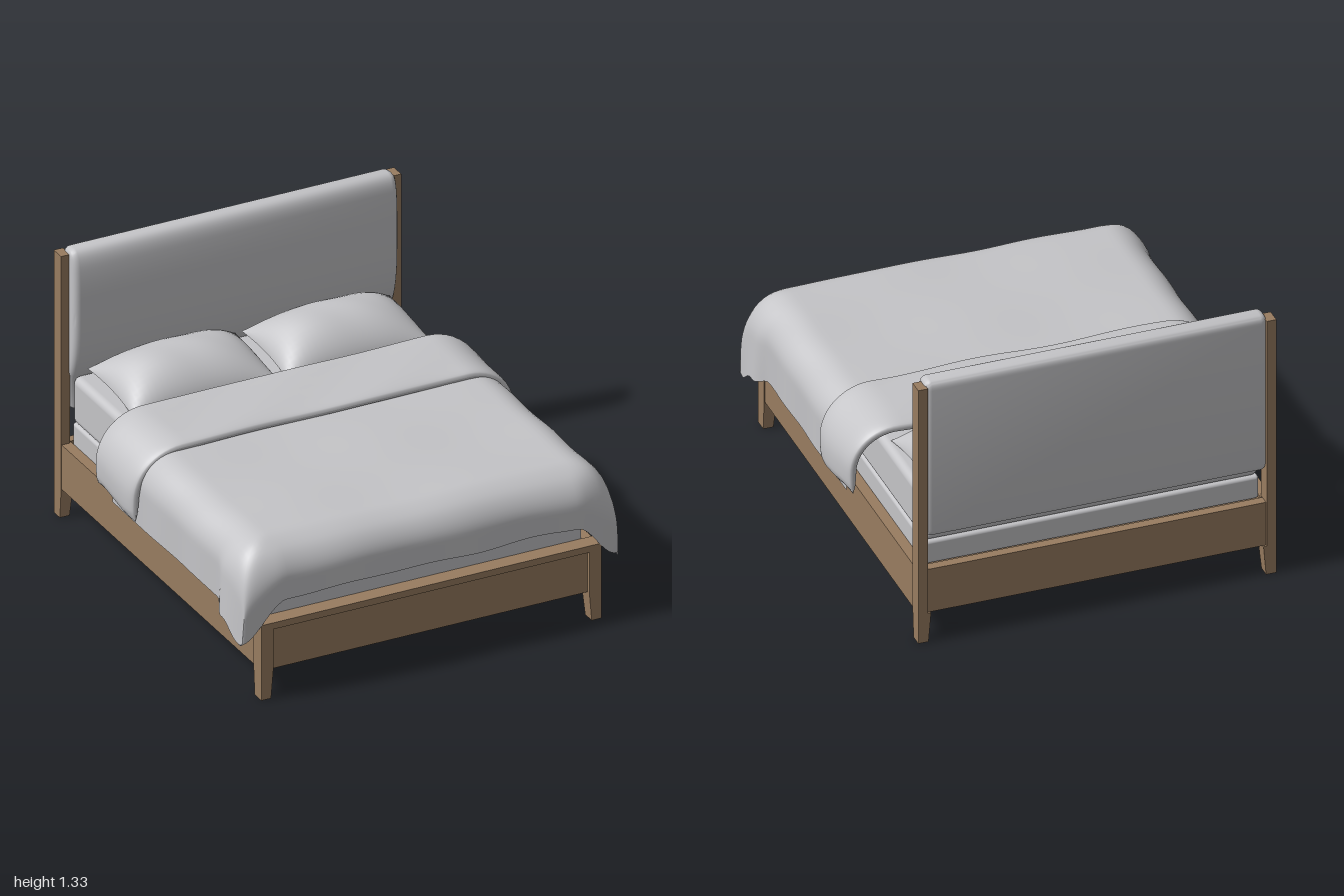
import * as THREE from 'three';
import { toCreasedNormals } from 'three/addons/utils/BufferGeometryUtils.js';
import { RoundedBoxGeometry } from 'three/addons/geometries/RoundedBoxGeometry.js';

const wood = new THREE.MeshStandardMaterial({ color: 0x987c60 });
wood.name = 'oak wood';
const linen = new THREE.MeshStandardMaterial({ color: 0xc4c4c7, side: THREE.DoubleSide });
linen.name = 'grey linen';

const { smoothstep: smooth, lerp } = THREE.MathUtils;

function add(parent, name, geometry, material, x = 0, y = 0, z = 0) {
  const mesh = new THREE.Mesh(geometry, material);
  mesh.name = name;
  mesh.position.set(x, y, z);
  parent.add(mesh);
}

// Box given by its lower and upper corners
function box(parent, name, material, [x0, y0, z0], [x1, y1, z1], radius = 0) {
  const s = [x1 - x0, y1 - y0, z1 - z0];
  const g = radius ? new RoundedBoxGeometry(...s, 5, radius) : new THREE.BoxGeometry(...s);
  add(parent, name, g, material, (x0 + x1) / 2, (y0 + y1) / 2, (z0 + z1) / 2);
}

// Smooth grid surface from a rule p(u, v) -> [x, y, z]
function surface(p, nu, nv) {
  const pos = [], index = [];
  for (let j = 0; j <= nv; j++) {
    for (let i = 0; i <= nu; i++) {
      pos.push(...p(i / nu, j / nv));
      if (i < nu && j < nv) {
        const a = j * (nu + 1) + i, b = a + nu + 1;
        index.push(a, b, a + 1, b, b + 1, a + 1);
      }
    }
  }
  const g = new THREE.BufferGeometry();
  g.setAttribute('position', new THREE.Float32BufferAttribute(pos, 3));
  g.setIndex(index);
  g.computeVertexNormals();
  return g;
}

// Cloth falling over an edge of radius r: how far out and down after length d
function drape(d, r) {
  const t = Math.min(d / r, Math.PI / 2);
  return { out: r * Math.sin(t), down: r * (1 - Math.cos(t)) + Math.max(0, d - r * Math.PI / 2) };
}

// Short leg, tapered inward on its two inner faces
function leg(parent, name, sx, z0, z1, top, taperZ) {
  const w = 0.06, d = z1 - z0;
  const g = new THREE.BoxGeometry(w, top, d);
  const p = g.attributes.position;
  for (let i = 0; i < p.count; i++) {
    if (p.getY(i) > 0) continue;
    if (p.getX(i) * sx < 0) p.setX(i, p.getX(i) + sx * 0.012);
    if (p.getZ(i) * taperZ > 0) p.setZ(i, p.getZ(i) - taperZ * 0.012);
  }
  g.computeVertexNormals();
  add(parent, name, g, wood, sx * (0.838 - w / 2), top / 2, (z0 + z1) / 2);
}

function buildFrame() {
  const frame = new THREE.Group();
  frame.name = 'frame';
  for (const s of [-1, 1]) {
    const side = s > 0 ? 'left' : 'right';
    // Corner legs, posts and side rails
    leg(frame, side + 'FrontLeg', s, 0.903, 0.977, 0.145, -1);
    box(frame, side + 'FrontPost', wood, [s * 0.808 - 0.03, 0.145, 0.903], [s * 0.808 + 0.03, 0.37, 0.977]);
    leg(frame, side + 'BackLeg', s, -1, -0.93, 0.145, 1);
    box(frame, side + 'HeadPost', wood, [s * 0.8155 - 0.0225, 0.145, -1], [s * 0.8155 + 0.0225, 1.3, -0.93]);
    box(frame, side + 'SideRail', wood, [s * 0.81 - 0.025, 0.145, -0.94], [s * 0.81 + 0.025, 0.365, 0.91]);
  }
  // Foot panel, set back below its cap
  box(frame, 'footPanel', wood, [-0.79, 0.135, 0.91], [0.79, 0.34, 0.958]);
  box(frame, 'footCap', wood, [-0.838, 0.34, 0.9], [0.838, 0.372, 0.978]);
  box(frame, 'headRail', wood, [-0.8, 0.145, -0.99], [0.8, 0.365, -0.945]);
  // Thin plate on one side rail
  box(frame, 'railPlate', wood, [0.834, 0.315, -0.07], [0.841, 0.355, 0.77]);
  // Deck and the slats below it, across the width
  box(frame, 'deck', wood, [-0.79, 0.335, -0.945], [0.79, 0.35, 0.91]);
  const n = 16;
  for (let i = 0; i < n; i++) {
    const z = -0.87 + (1.72 * i) / (n - 1);
    const y = 0.305 + 0.01 * (i % 2);
    box(frame, 'slat', wood, [-0.79, y, z - 0.038], [0.79, y + 0.02, z + 0.038]);
  }
  return frame;
}

// Padded board: side profile extruded across the bed, swelling above the mattress
function headboard() {
  const bevel = 0.03, width = 1.6;
  const s = new THREE.Shape();
  s.moveTo(0.985, 0.535);
  s.lineTo(0.925, 0.535);
  s.lineTo(0.925, 0.68);
  s.bezierCurveTo(0.9, 0.72, 0.874, 0.8, 0.872, 0.95);
  s.bezierCurveTo(0.87, 1.1, 0.87, 1.18, 0.88, 1.25);
  s.bezierCurveTo(0.89, 1.31, 0.91, 1.325, 0.94, 1.325);
  s.bezierCurveTo(0.98, 1.325, 0.995, 1.315, 0.995, 1.28);
  s.lineTo(0.995, 0.56);
  s.closePath();
  const g = new THREE.ExtrudeGeometry(s, {
    depth: width - 2 * bevel, curveSegments: 10,
    bevelEnabled: true, bevelThickness: bevel, bevelSize: bevel, bevelOffset: -bevel, bevelSegments: 4,
  });
  g.translate(0, 0, bevel - width / 2);
  g.rotateY(Math.PI / 2);
  return toCreasedNormals(g, 0.7);
}

function pillow(parent, name, cx) {
  const half = (sign) => surface((a, b) => {
    const u = Math.sin((a - 0.5) * Math.PI), v = Math.sin((b - 0.5) * Math.PI);
    const full = Math.pow((1 - u * u * Math.abs(u)) * (1 - v * v), 0.6);
    // Edges pull in between pointed corners
    const x = cx + 0.365 * u * (1 - 0.05 * (1 - v * v));
    const z = -0.66 - 0.22 * v * (1 - 0.05 * (1 - u * u));
    const seam = 0.724 + 0.02 * v;
    const crease = 0.002 * Math.sin(9 * u + 5 * v) * full;
    return [x, seam + (sign > 0 ? 0.157 * full + crease : -0.03 * full), z];
  }, 28, 20);
  add(parent, name + 'Top', half(1), linen);
  add(parent, name + 'Underside', half(-1), linen);
}

// Main cover, hanging over both sides and the foot, with lower pouches at the foot corners
function duvet() {
  const flatX = 0.74, flatZ = 0.82, r = 0.165, hangX = 0.44, hangZ = 0.37, start = -0.3;
  return surface((u, v) => {
    const a = (2 * u - 1) * (flatX + hangX), s = Math.sign(a);
    const b = start + v * (flatZ + hangZ - start);
    const da = Math.max(0, Math.abs(a) - flatX), db = Math.max(0, b - flatZ);
    const fx = da / hangX, fz = db / hangZ;
    const x0 = Math.min(Math.abs(a), flatX) + drape(da, r).out;
    const z0 = Math.min(b, flatZ) + drape(db, r).out;
    // How far the cloth has fallen, and how low its hem is here
    const f = Math.min(1, Math.pow(fx ** 3 + fz ** 3, 1 / 3));
    const nearX = smooth(x0, 0.72, 0.915), nearZ = smooth(z0, 0.68, 0.78);
    const front = lerp(0.25, 0.45, nearX);
    const side = lerp(0.34, 0.385, nearZ);
    const low = lerp(side, front, smooth(z0, 0.8, 0.94));
    const down = (drape(f * 0.44, r).down / drape(0.44, r).down) * low;
    const corner = nearZ * fx;
    const wave = 0.004 * Math.sin(7 * a + 3 * b) * Math.sin(6 * b - 2 * a);
    const hem = 0.005 * Math.sin(17 * b) * fx + 0.005 * Math.sin(13 * a + 1) * fz;
    const x = s * (x0 + 0.03 * corner + hem);
    const z = z0 + (0.006 + 0.006 * Math.sin(11 * a)) * fz - 0.05 * corner * fz;
    return [x, 0.735 - down + wave + hem, z];
  }, 96, 72);
}

// Turned-back band: a flat closed loop swept across the bed
function foldedBand() {
  const flatX = 0.7, r = 0.21, hang = 0.44;
  return surface((u, v) => {
    const a = (2 * u - 1) * (flatX + hang), s = Math.sign(a);
    const da = Math.max(0, Math.abs(a) - flatX);
    const o = drape(da, r), t = Math.min(da / r, Math.PI / 2);
    const edge = Math.sqrt(Math.max(0, 1 - Math.pow(Math.abs(2 * u - 1), 30)));
    const c = Math.cos(v * 2 * Math.PI), q = Math.sin(v * 2 * Math.PI);
    const z = -0.23 + 0.205 * Math.sign(c) * Math.pow(Math.abs(c), 0.5) * (1 - 0.12 * da / hang)
      + 0.006 * Math.sin(8 * a);
    const h = 0.028 * Math.sign(q) * Math.pow(Math.abs(q), 0.6) * edge
      + 0.003 * Math.sin(9 * a + 14 * z);
    const x = s * (Math.min(Math.abs(a), flatX) + o.out + h * Math.sin(t) + 0.012 * da / hang);
    return [x, 0.752 - o.down + h * Math.cos(t) + 0.015 * Math.sin(12 * z) * (da / hang), z];
  }, 90, 32);
}

export function createModel() {
  const bed = new THREE.Group();
  bed.name = 'bed';
  bed.add(buildFrame());
  add(bed, 'headboard', headboard(), linen);

  // Base and mattress
  box(bed, 'mattressBase', linen, [-0.784, 0.352, -0.93], [0.784, 0.468, 0.9], 0.015);
  box(bed, 'mattress', linen, [-0.786, 0.466, -0.93], [0.786, 0.7, 0.9], 0.035);

  // Bedding
  const bedding = new THREE.Group();
  bedding.name = 'bedding';
  pillow(bedding, 'rightPillow', -0.37);
  pillow(bedding, 'leftPillow', 0.39);
  add(bedding, 'duvet', duvet(), linen);
  add(bedding, 'foldedBand', foldedBand(), linen);
  bed.add(bedding);
  return bed;
}
